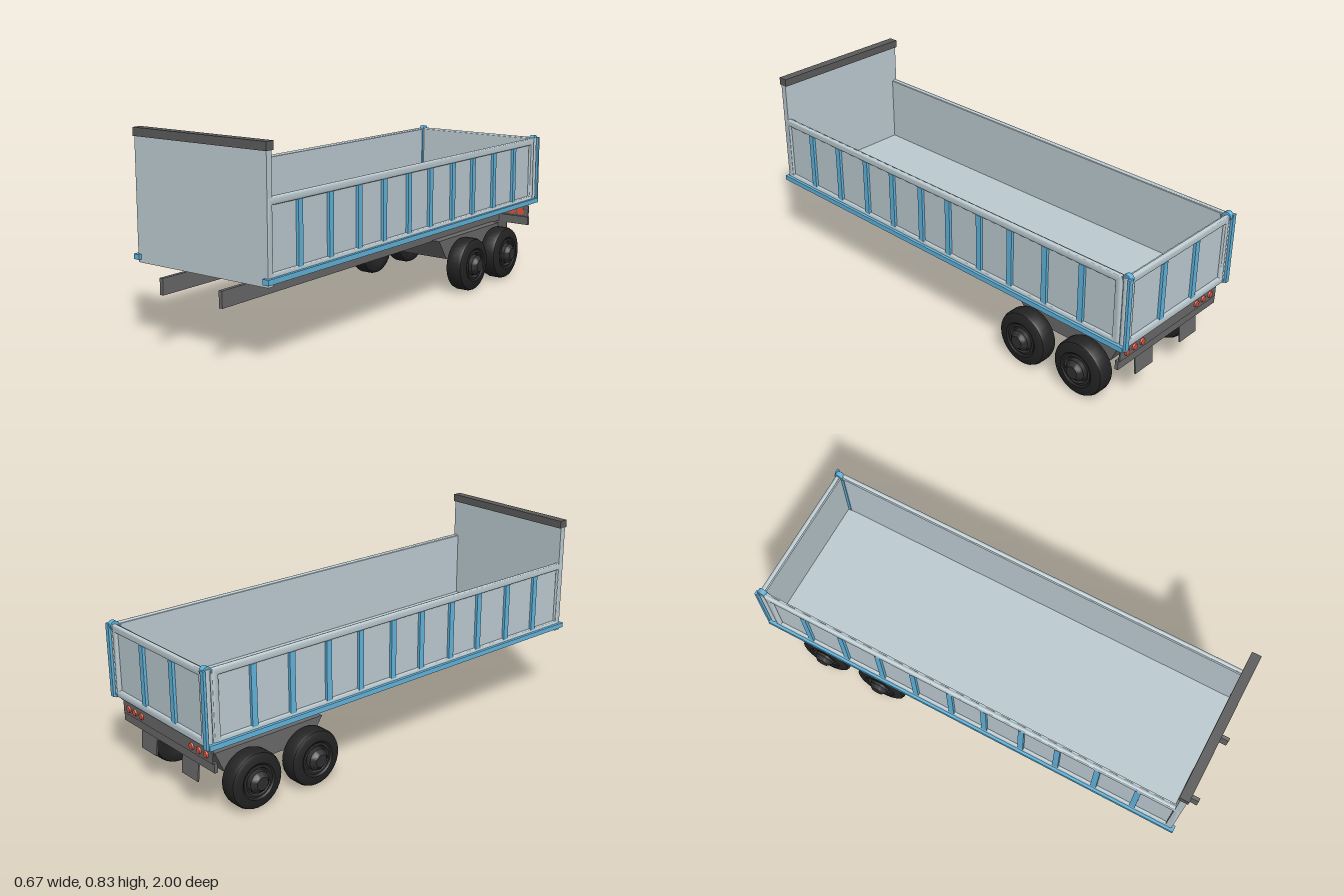
import * as THREE from 'three';
import { toCreasedNormals } from 'three/addons/utils/BufferGeometryUtils.js';

const mat = (name, color, side = THREE.FrontSide) => {
  const m = new THREE.MeshStandardMaterial({ color, side });
  m.name = name;
  return m;
};

export function createModel() {
  const body = mat('body grey', 0xbccbd1);
  const blue = mat('trim blue', 0x62b4dc);
  const steel = mat('chassis grey', 0x696969);
  const capGrey = mat('cap grey', 0x5b5b5b);
  const rubber = mat('tyre black', 0x232323);
  const hubBlack = mat('hub black', 0x2e2e30);
  const red = mat('light red', 0xe0523c);

  const root = new THREE.Group();
  root.name = 'dumpTrailer';

  const add = (parent, name, geo, material) => {
    const m = new THREE.Mesh(geo, material);
    m.name = name;
    parent.add(m);
    return m;
  };
  // box given by its minimum and maximum on each axis
  const box = (parent, name, material, x0, x1, y0, y1, z0, z1) => {
    const m = add(parent, name, new THREE.BoxGeometry(Math.abs(x1 - x0), y1 - y0, Math.abs(z1 - z0)), material);
    m.position.set((x0 + x1) / 2, (y0 + y1) / 2, (z0 + z1) / 2);
    return m;
  };
  const rect = (P, x0, x1, y0, y1) => {
    const p = new P();
    p.moveTo(x0, y0);
    p.lineTo(x1, y0);
    p.lineTo(x1, y1);
    p.lineTo(x0, y1);
    p.closePath();
    return p;
  };

  // wall panel facing local +z: inner plate, bevelled frame and blue ribs
  const wallPanel = (name, w, y0, y1, edge, ribs) => {
    const g = new THREE.Group();
    g.name = name;
    box(g, 'plate', body, -w / 2 + 0.002, w / 2 - 0.002, y0 + 0.002, y1 - 0.006, -0.005, 0.007);
    const s = rect(THREE.Shape, -w / 2, w / 2, y0, y1);
    s.holes.push(rect(THREE.Path, -w / 2 + edge, w / 2 - edge, 0.362, y1 - 0.032));
    const frame = new THREE.ExtrudeGeometry(s, {
      depth: 0.004, bevelThickness: 0.008, bevelSize: 0.008, bevelOffset: -0.008, bevelSegments: 2,
    });
    frame.translate(0, 0, 0.008);
    add(g, 'frame', toCreasedNormals(frame, 0.9), body);
    for (const u of ribs) box(g, 'rib', blue, u - 0.0125, u + 0.0125, 0.357, y1 - 0.03, 0.004, 0.019);
    root.add(g);
    return g;
  };

  // side walls and tailgate
  const half = [0.078, 0.25, 0.413, 0.59, 0.768];
  const sideRibs = [...half, ...half.map((u) => -u)];
  for (const s of [1, -1]) {
    const p = wallPanel(s > 0 ? 'leftWall' : 'rightWall', 1.9, 0.33, 0.635, 0.03, sideRibs);
    p.rotation.y = s * Math.PI / 2;
    p.position.set(s * 0.305, 0, -0.005);
  }
  const tailgate = wallPanel('tailgate', 0.61, 0.33, 0.635, 0.025, [-0.1, 0.1]);
  tailgate.rotation.y = Math.PI;
  tailgate.position.z = -0.965;

  // floor and headboard
  box(root, 'floor', body, -0.306, 0.306, 0.315, 0.345, -0.965, 0.94);
  box(root, 'headboard', body, -0.324, 0.324, 0.315, 0.8, 0.918, 0.945);
  box(root, 'headboardCap', capGrey, -0.327, 0.327, 0.797, 0.83, 0.91, 0.95);

  for (const s of [1, -1]) {
    // blue bottom rail, rear corner post, edge strip and hinge
    box(root, 'bottomRail', blue, s * 0.308, s * 0.337, 0.327, 0.348, -0.985, 0.957);
    const post = add(root, 'cornerPost', new THREE.CylinderGeometry(0.014, 0.014, 0.3, 16), body);
    post.position.set(s * 0.311, 0.485, -0.97);
    box(root, 'cornerStrip', blue, s * 0.31, s * 0.33, 0.33, 0.635, -0.995, -0.984);
    box(root, 'hingeStrip', blue, s * 0.296, s * 0.311, 0.348, 0.625, -0.957, -0.945);
    const hinge = add(root, 'hinge', new THREE.CylinderGeometry(0.019, 0.019, 0.022, 16), blue);
    hinge.rotation.z = Math.PI / 2;
    hinge.position.set(s * 0.309, 0.627, -0.972);

    // chassis rail
    box(root, 'chassisRail', steel, s * 0.14, s * 0.156, 0.225, 0.29, -0.935, 1.0);

    // mud flap, slightly tilted
    const flap = box(root, 'mudFlap', steel, s * 0.088, s * 0.195, 0.14, 0.225, -0.948, -0.942);
    flap.rotation.x = 0.1;

    // three round lights
    for (const x of [0.173, 0.22, 0.265]) {
      const lamp = add(root, 'rearLight', new THREE.CylinderGeometry(0.019, 0.012, 0.015, 20), red);
      lamp.rotation.x = Math.PI / 2;
      lamp.position.set(s * x, 0.282, -0.9545);
    }
  }

  // light bar
  box(root, 'lightBarUpper', steel, -0.305, 0.305, 0.256, 0.31, -0.956, -0.95);
  box(root, 'lightBarLower', steel, -0.31, 0.31, 0.22, 0.258, -0.952, -0.938);

  // cross members in pairs, with gussets beside the rails
  const gusset = new THREE.Shape([[0.105, 0.262], [0.105, 0.25], [0.141, 0.232], [0.141, 0.262]]
    .map(([x, y]) => new THREE.Vector2(x, y)));
  for (const z of [0.48, 0.4, 0.12, 0.04, -0.2, -0.28]) {
    box(root, 'crossMember', steel, -0.141, 0.141, 0.258, 0.29, z - 0.012, z + 0.012);
    for (const s of [1, -1]) {
      const geo = new THREE.ExtrudeGeometry(gusset, { depth: 0.03, bevelEnabled: false });
      geo.translate(0, 0, -0.015);
      const m = add(root, 'gusset', geo, steel);
      m.position.z = z;
      m.rotation.y = s > 0 ? 0 : Math.PI;
    }
  }

  // suspension housing between the wheels
  const housing = new THREE.Shape([[-0.87, 0.23], [-0.83, 0.14], [-0.41, 0.14], [-0.35, 0.23]]
    .map(([z, y]) => new THREE.Vector2(-z, y)));
  const housingGeo = new THREE.ExtrudeGeometry(housing, { depth: 0.386, bevelEnabled: false });
  housingGeo.translate(0, 0, -0.193);
  add(root, 'suspensionHousing', housingGeo, steel).rotation.y = Math.PI / 2;

  // wheels: tyre and hub turned around the axle, points are [radius, offset]
  const lathe = (pts) => toCreasedNormals(
    new THREE.LatheGeometry(pts.map(([r, y]) => new THREE.Vector2(r, y)), 32), 0.6);
  const tyre = lathe([[0, -0.035], [0.06, -0.035], [0.075, -0.044], [0.1, -0.044], [0.113, -0.036], [0.118, -0.022],
    [0.118, 0.022], [0.113, 0.034], [0.1, 0.041], [0.075, 0.044], [0.064, 0.036], [0.062, 0.03]]);
  const hub = lathe([[0.066, 0.028], [0.066, 0.04], [0.058, 0.042], [0.052, 0.03], [0.046, 0.03], [0.044, 0.05],
    [0.036, 0.056], [0.033, 0.062], [0.026, 0.068], [0, 0.068]]);
  for (const z of [-0.47, -0.755]) {
    for (const s of [1, -1]) {
      const wheel = new THREE.Group();
      wheel.name = 'wheel';
      add(wheel, 'tyre', tyre, rubber);
      add(wheel, 'hub', hub, hubBlack);
      wheel.rotation.z = -s * Math.PI / 2;
      wheel.position.set(s * 0.265, 0.118, z);
      root.add(wheel);
    }
  }
  return root;
}
